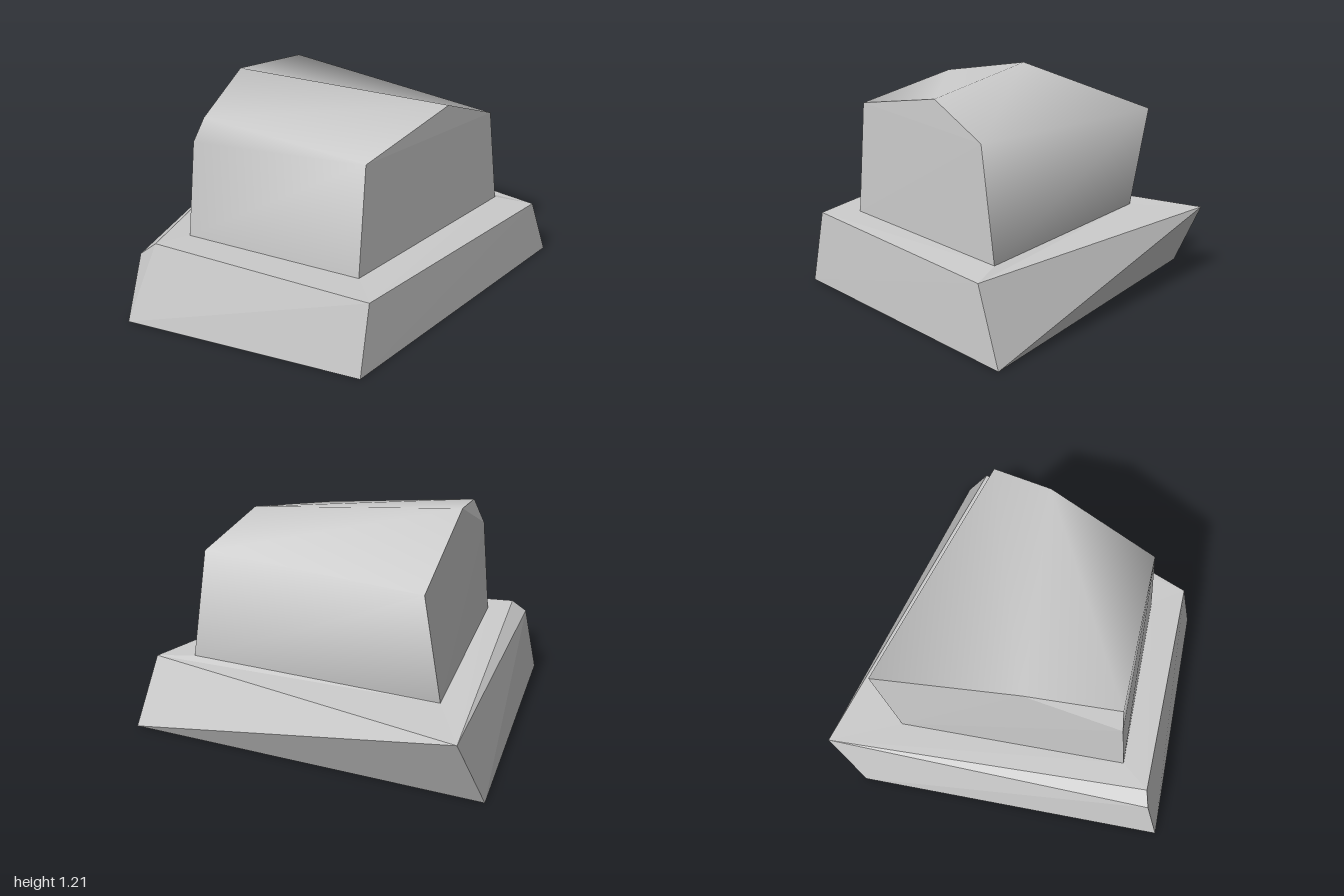
import * as THREE from 'three';

const P = (x, y, z) => [x, y, z];

// Flat-shaded surface: every polygon is split as a fan from its first corner
function flatGeometry(polygons) {
  const positions = [];
  for (const p of polygons) {
    for (let i = 1; i < p.length - 1; i++) positions.push(...p[0], ...p[i], ...p[i + 1]);
  }
  const g = new THREE.BufferGeometry();
  g.setAttribute('position', new THREE.Float32BufferAttribute(positions, 3));
  g.computeVertexNormals();
  return g;
}

// Smooth surface: shared corners, averaged normals
function smoothGeometry(points, triangles) {
  const g = new THREE.BufferGeometry();
  g.setAttribute('position', new THREE.Float32BufferAttribute(points.flat(), 3));
  g.setIndex(triangles.flat());
  g.computeVertexNormals();
  return g;
}

export function createModel() {
  const group = new THREE.Group();
  const stone = new THREE.MeshStandardMaterial({ color: 0xcccccc, side: THREE.DoubleSide });
  stone.name = 'light grey';

  const add = (name, geometry) => {
    const mesh = new THREE.Mesh(geometry, stone);
    mesh.name = name;
    group.add(mesh);
  };

  // Plinth corners on the ground
  const backLow = P(-1, 0, -0.77), farLow = P(1, 0, -0.69);
  const rightLow = P(0.455, 0, 0.88), frontLow = P(-0.89, 0, 0.955);
  // Plinth rim, with one cut corner at the front
  const backTop = P(-0.9, 0.385, -0.96), farTop = P(0.935, 0.378, -0.54);
  const rightTop = P(0.465, 0.418, 0.795);
  const cutLow = P(-0.83, 0.4, 0.855), cutTop = P(-0.75, 0.465, 0.825);

  // End profiles of the block, from front foot over the ridge to back foot
  const L = [P(-0.635, 0.457, 0.67), P(-0.6, 1.0, 0.612), P(-0.54, 1.14, 0.59),
    P(-0.605, 1.21, 0.09), P(-0.65, 0.99, -0.705), P(-0.71, 0.395, -0.585)];
  const R = [P(0.335, 0.42, 0.625), P(0.345, 1.05, 0.57), P(0.55, 1.145, -0.045),
    P(0.68, 0.975, -0.4), P(0.72, 0.395, -0.5)];

  // Hollow plinth walls
  add('plinthWalls', flatGeometry([
    [frontLow, rightLow, rightTop, cutTop, cutLow],
    [rightLow, farLow, farTop, rightTop],
    [farLow, backLow, backTop, farTop],
    [backLow, frontLow, cutLow, backTop],
    [backTop, cutLow, cutTop],
  ]));

  // Ledge around the block
  const outer = [cutTop, rightTop, farTop, backTop];
  const inner = [L[0], R[0], R[4], L[5]];
  add('plinthLedge', flatGeometry(outer.map((p, i) => {
    const j = (i + 1) % 4;
    return [p, outer[j], inner[j], inner[i]];
  })));

  // Rounded front, roof and back: left points are 0-5, right points 6-10
  add('blockShell', smoothGeometry([...L, ...R], [
    [0, 6, 7], [0, 7, 1], [1, 7, 2],
    [2, 7, 8], [2, 8, 3],
    [3, 8, 9], [3, 9, 4],
    [4, 9, 10], [4, 10, 5],
  ]));

  // Flat ends and underside of the block
  add('blockEnds', flatGeometry([
    [R[0], R[4], R[3], R[1]], [R[1], R[3], R[2]],
    [L[5], L[0], L[1], L[3], L[4]], [L[1], L[2], L[3]],
  ]));
  add('blockUnderside', flatGeometry([[L[5], R[4], R[0], L[0]]]));

  return group;
}
